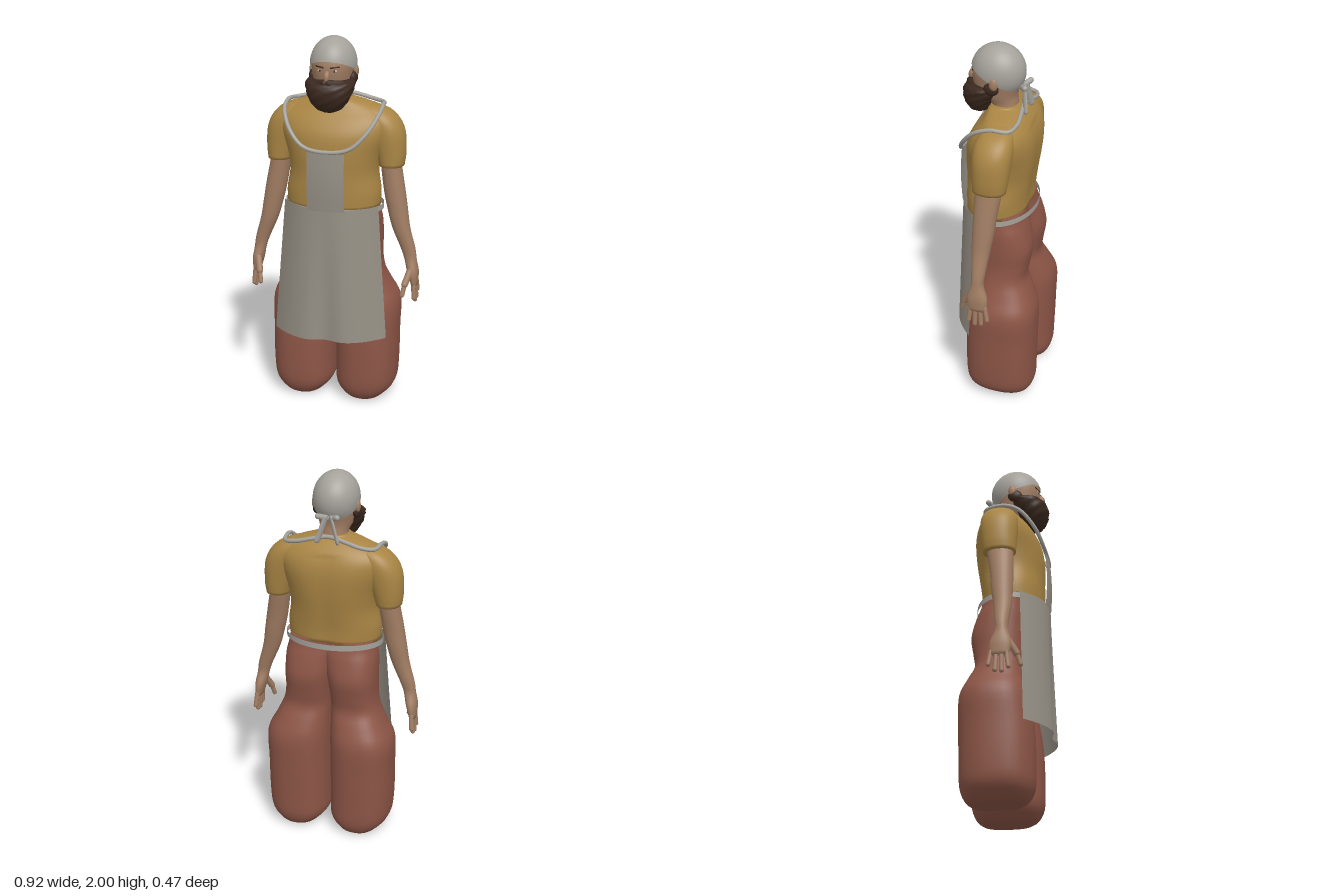
import * as THREE from 'three';
import { mergeVertices } from 'three/addons/utils/BufferGeometryUtils.js';

const mat = (name, color, side = THREE.FrontSide) => {
  const m = new THREE.MeshStandardMaterial({ color, side });
  m.name = name;
  return m;
};

// Grid surface: fn(u, v) returns [x, y, z]; faces point along du x dv
function surface(nu, nv, fn) {
  const g = new THREE.PlaneGeometry(1, 1, nu, nv);
  const p = g.attributes.position;
  for (let i = 0; i < p.count; i++) {
    const u = (i % (nu + 1)) / nu, v = 1 - Math.floor(i / (nu + 1)) / nv;
    p.setXYZ(i, ...fn(u, v));
  }
  g.deleteAttribute('uv');
  g.deleteAttribute('normal');
  const merged = mergeVertices(g, 1e-5);
  merged.computeVertexNormals();
  return merged;
}

// Closed body through horizontal rings [y, x0, x1, z0, z1], bottom to top
function loft(rows, { n = 36, sub = 4, power = 2.2, bump = () => 1 } = {}) {
  const curve = (f) => new THREE.CatmullRomCurve3(rows.map(f), false, 'catmullrom', 0.5);
  const cx = curve((r) => new THREE.Vector3(r[1], r[0], r[2]));
  const cz = curve((r) => new THREE.Vector3(r[3], r[0], r[4]));
  const steps = (rows.length - 1) * sub;
  const round = (c) => Math.sign(c) * Math.abs(c) ** (2 / power);
  return surface(n, steps + 2, (u, v) => {
    const k = Math.round(v * (steps + 2)) - 1;
    const t = Math.min(Math.max(k / steps, 0), 1);
    const a = cx.getPoint(t), b = cz.getPoint(t), ang = (u % 1) * Math.PI * 2;
    const s = k < 0 || k > steps ? 0 : bump(ang, a.y);
    return [
      (a.x + a.z) / 2 + round(Math.sin(ang)) * s * (a.z - a.x) / 2,
      a.y,
      (b.x + b.z) / 2 + round(Math.cos(ang)) * s * (b.z - b.x) / 2,
    ];
  });
}

const both = (rows) => rows.map(([y, w, z0, z1]) => [y, -w, w, z0, z1]);
const mirror = (rows, s) => (s > 0 ? rows : rows.map(([y, a, b, c, d]) => [y, -b, -a, c, d]));

export function createModel() {
  const group = new THREE.Group();
  const shirt = mat('mustardShirt', 0xa98544);
  const trousers = mat('rustTrousers', 0x8c5546);
  const apron = mat('apronGrey', 0x969085, THREE.DoubleSide);
  const cloth = mat('capGrey', 0xa5a29b, THREE.DoubleSide);
  const skin = mat('skin', 0xa17d63);
  const hair = mat('darkBrownHair', 0x3b291f);
  const eyeWhite = mat('eyeWhite', 0xc4bdb2);

  const add = (name, geo, m) => {
    const mesh = new THREE.Mesh(geo, m);
    mesh.name = name;
    group.add(mesh);
    return mesh;
  };
  const ball = (name, m, pos, size) => {
    const b = add(name, new THREE.SphereGeometry(1, 16, 12), m);
    b.position.set(...pos);
    b.scale.set(...size);
    return b;
  };
  const capsule = (name, m, from, to, r, flat = 1) => {
    const a = new THREE.Vector3(...from), b = new THREE.Vector3(...to), d = b.clone().sub(a);
    const c = add(name, new THREE.CapsuleGeometry(r, d.length(), 4, 10), m);
    c.position.copy(a).add(b).multiplyScalar(0.5);
    c.quaternion.setFromUnitVectors(new THREE.Vector3(0, 1, 0), d.normalize());
    c.scale.z = flat;
    return c;
  };

  // Shirt body, with a shallow groove along the spine
  add('shirtBody', loft(both([
    [1.12, 0.248, -0.145, 0.185], [1.2, 0.25, -0.15, 0.185], [1.3, 0.235, -0.165, 0.185],
    [1.4, 0.25, -0.18, 0.187], [1.5, 0.285, -0.185, 0.175], [1.57, 0.295, -0.172, 0.14],
    [1.62, 0.26, -0.145, 0.1], [1.655, 0.19, -0.115, 0.08], [1.68, 0.1, -0.085, 0.075],
    [1.69, 0.085, -0.075, 0.07],
  ]), { n: 48, bump: (a, y) => (y < 1.6 ? 1 - 0.06 * Math.exp(-(((a - Math.PI) / 0.2) ** 2)) : 1) }), shirt);

  for (const s of [1, -1]) {
    const side = s > 0 ? 'left' : 'right';
    // Short sleeve and shoulder
    add(side + 'Sleeve', loft(mirror([
      [1.335, 0.235, 0.365, -0.1, 0.072], [1.4, 0.215, 0.372, -0.11, 0.075],
      [1.5, 0.18, 0.367, -0.12, 0.08], [1.57, 0.15, 0.338, -0.12, 0.075],
      [1.62, 0.12, 0.285, -0.105, 0.055], [1.65, 0.12, 0.21, -0.07, 0.03],
    ], s)), shirt);

    // Arm running into the palm
    add(side + 'Arm', loft(mirror([
      [0.69, 0.422, 0.455, -0.04, 0.058], [0.76, 0.4, 0.458, -0.042, 0.068],
      [0.83, 0.383, 0.447, -0.018, 0.05], [0.89, 0.362, 0.438, -0.022, 0.05],
      [1.0, 0.315, 0.408, -0.035, 0.06], [1.1, 0.287, 0.392, -0.05, 0.062],
      [1.2, 0.265, 0.376, -0.06, 0.062], [1.34, 0.245, 0.35, -0.08, 0.06],
      [1.42, 0.24, 0.34, -0.08, 0.06],
    ], s), { n: 24 }), skin);

    // Fingers and thumb
    [[-0.032, -0.045, 0.64], [-0.006, -0.012, 0.61], [0.02, 0.022, 0.605], [0.045, 0.055, 0.625]].forEach(([z0, z1, y]) =>
      capsule(side + 'Finger', skin, [s * 0.438, 0.71, z0], [s * 0.444, y, z1], 0.0125));
    capsule(side + 'ThumbBase', skin, [s * 0.42, 0.775, 0.05], [s * 0.4, 0.71, 0.09], 0.018);
    capsule(side + 'Thumb', skin, [s * 0.4, 0.71, 0.09], [s * 0.39, 0.655, 0.108], 0.0125);

    // Baggy trouser leg, slim at the thigh, with one half of the seat
    add(side + 'TrouserLeg', loft(mirror([
      [0.005, 0.09, 0.25, -0.165, 0.085], [0.03, 0.055, 0.285, -0.2, 0.12],
      [0.09, 0.012, 0.332, -0.225, 0.147], [0.2, 0.008, 0.345, -0.23, 0.152],
      [0.4, 0.008, 0.347, -0.235, 0.147], [0.56, 0.008, 0.347, -0.235, 0.125],
      [0.66, 0.008, 0.3, -0.2, 0.1], [0.74, 0.003, 0.265, -0.165, 0.092],
      [0.82, -0.003, 0.25, -0.173, 0.095], [0.92, -0.015, 0.25, -0.187, 0.1],
      [1.02, -0.04, 0.248, -0.165, 0.1], [1.08, -0.07, 0.238, -0.145, 0.1],
      [1.13, -0.08, 0.23, -0.135, 0.095],
    ], s), { power: 2.4 }), trousers);

    // Ear, sideburn, moustache, eye and brow
    ball(side + 'Ear', skin, [s * 0.115, 1.825, 0.025], [0.014, 0.034, 0.022]);
    ball(side + 'Sideburn', hair, [s * 0.105, 1.795, 0.04], [0.022, 0.034, 0.04]);
    capsule(side + 'Moustache', hair, [s * 0.012, 1.785, 0.178], [s * 0.08, 1.775, 0.14], 0.02);
    ball(side + 'Eye', eyeWhite, [s * 0.037, 1.845, 0.157], [0.014, 0.006, 0.006]);
    ball(side + 'Pupil', hair, [s * 0.037, 1.845, 0.162], [0.005, 0.005, 0.003]);
    capsule(side + 'Brow', hair, [s * 0.02, 1.862, 0.167], [s * 0.06, 1.866, 0.148], 0.004);

    // Knot loop and hanging tail of the cap
    capsule(side + 'CapKnot', cloth, [s * 0.012, 1.785, -0.09], [s * 0.05, 1.8, -0.118], 0.015);
    capsule(side + 'CapTail', cloth, [s * 0.015, 1.79, -0.105], [s * 0.052, 1.675, -0.123], 0.017, 0.5);
  }

  // Head and neck
  add('head', loft(both([
    [1.6, 0.085, -0.08, 0.06], [1.69, 0.072, -0.07, 0.07], [1.74, 0.088, -0.066, 0.14],
    [1.8, 0.1, -0.08, 0.162], [1.87, 0.108, -0.09, 0.166], [1.93, 0.093, -0.078, 0.142],
    [1.97, 0.058, -0.04, 0.1], [1.985, 0.03, -0.005, 0.065],
  ])), skin);
  const nose = ball('nose', skin, [0, 1.818, 0.172], [0.016, 0.03, 0.02]);
  nose.rotation.x = -0.3;

  // Full curly beard
  add('beard', loft(both([
    [1.63, 0.03, 0.1, 0.155], [1.65, 0.07, 0.075, 0.182], [1.7, 0.105, 0.045, 0.208],
    [1.75, 0.123, 0.005, 0.212], [1.78, 0.126, -0.002, 0.195], [1.795, 0.11, 0.01, 0.162],
  ]), { n: 48, sub: 5, bump: (a, y) => 1 + 0.03 * Math.sin(a * 9 + y * 60) * Math.sin(y * 190 + a * 2) }), hair);

  // Close cap, its edge falling from brow to nape
  add('cap', surface(40, 20, (u, v) => {
    const a = (u % 1) * Math.PI * 2, t = (1 - v) * (1.805 - 0.47 * Math.cos(a));
    return [0.12 * Math.sin(a) * Math.sin(t), 1.86 + 0.14 * Math.cos(t), 0.033 + 0.14 * Math.cos(a) * Math.sin(t)];
  }), cloth);

  // Apron skirt and bib
  add('apronSkirt', surface(40, 16, (u, v) => {
    const x = u * 2 - 1, f = 1 - v;
    const edge = 0.085 + 0.022 * f, front = 0.212 + 0.032 * f;
    return [
      x * (0.252 + 0.055 * f), 1.13 - 0.73 * f,
      edge + (front - edge) * (1 - Math.abs(x) ** 2.4) - 0.03 * f * Math.exp(-((x / 0.22) ** 2)),
    ];
  }), apron);
  add('apronBib', surface(10, 6, (u, v) => {
    const x = u * 2 - 1;
    return [x * 0.098, 1.12 + 0.31 * v, 0.214 - 0.012 * x * x + 0.008 * Math.sin(v * Math.PI)];
  }), apron);

  // Waist band
  const band = add('waistBand', new THREE.CylinderGeometry(1, 1, 0.03, 48, 1, true), cloth);
  band.scale.set(0.263, 1, 0.183);
  band.position.set(0, 1.112, 0.008);

  // Neck strap, a loop over both shoulders
  const half = [[0.12, 1.455, 0.196], [0.2, 1.53, 0.16], [0.25, 1.62, 0.08], [0.252, 1.65, 0],
    [0.235, 1.645, -0.09], [0.17, 1.655, -0.115], [0.09, 1.675, -0.112]];
  const loop = [[0, 1.435, 0.206], ...half, [0, 1.69, -0.1],
    ...half.map(([x, y, z]) => [-x, y, z]).reverse()].map((p) => new THREE.Vector3(...p));
  add('neckStrap', new THREE.TubeGeometry(new THREE.CatmullRomCurve3(loop, true), 96, 0.011, 8, true), cloth);

  return group;
}
